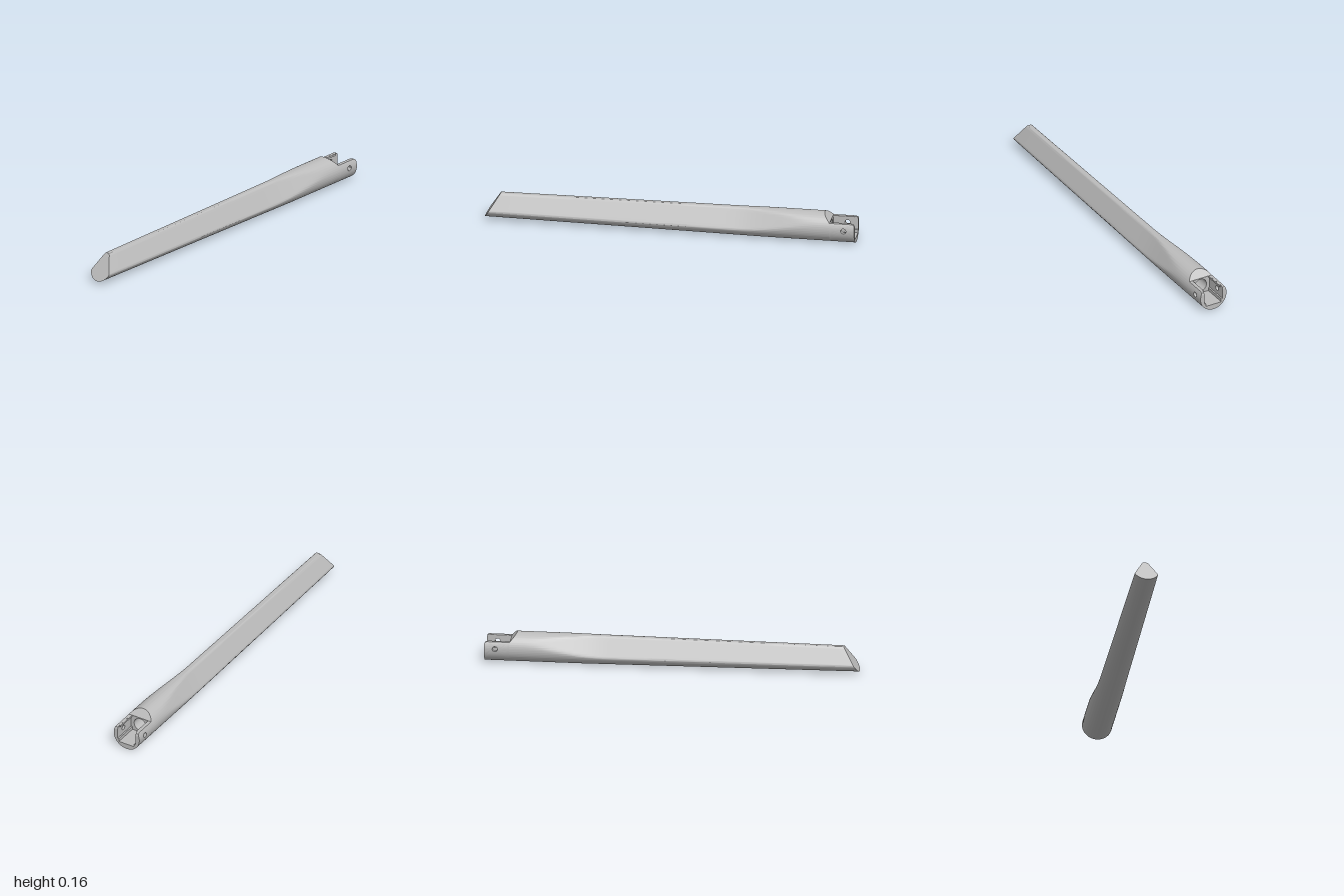
import * as THREE from 'three';
import { toCreasedNormals } from 'three/addons/utils/BufferGeometryUtils.js';

const { lerp, clamp, smoothstep } = THREE.MathUtils;
const V = (x, y, z) => new THREE.Vector3(x, y, z);
const R = 0.08, CY = 0.08;              // socket radius and axis height
const RIM = 0.12, FLOOR = 0.03;         // top of fork walls, channel floor
const BULK = -0.865, END = -1;          // bulkhead and rear end

const grey = new THREE.MeshStandardMaterial({ color: 0xbcbcbc, side: THREE.DoubleSide });
grey.name = 'grey';

// Skin a list of equal-length point rows
function loft(rows, crease = 0.6) {
  const n = rows[0].length, pos = [], idx = [];
  rows.forEach(row => row.forEach(p => pos.push(p.x, p.y, p.z)));
  for (let i = 0; i < rows.length - 1; i++) {
    for (let j = 0; j < n - 1; j++) {
      const a = i * n + j, d = a + n;
      idx.push(a, a + 1, d, a + 1, d + 1, d);
    }
  }
  const g = new THREE.BufferGeometry();
  g.setAttribute('position', new THREE.Float32BufferAttribute(pos, 3));
  g.setIndex(idx);
  return toCreasedNormals(g, crease);
}

// Round section whose two upper flanks are shaved flat towards the front
function section(z, zOf = () => z) {
  const t = clamp((1 - z) / 1.5, 0, 1);
  const r = lerp(0.068, R, t), cy = lerp(0.0825, CY, t);
  const flat = r * lerp(1.06, 0.64, smoothstep(z, -0.85, -0.35));
  const pts = [];
  for (let i = 0; i <= 144; i++) {
    const a = i / 144 * Math.PI * 2;
    let sum = Math.pow(r, -40);
    for (const phi of [28, 152]) {
      const c = Math.max(Math.cos(a - phi * Math.PI / 180), 0.05);
      sum += Math.pow(flat / c, -40);
    }
    const q = Math.pow(sum, -1 / 40);
    const y = cy + q * Math.sin(a);
    pts.push(V(q * Math.cos(a), y, zOf(y)));
  }
  return pts;
}

export function createModel() {
  const model = new THREE.Group();
  const add = (name, geometry, parent = model) => {
    const m = new THREE.Mesh(geometry, grey);
    m.name = name;
    parent.add(m);
    return m;
  };

  // Long body, with a slanted shoulder behind and a slanted tip in front
  const slantBack = y => BULK + Math.max(0, y - RIM) * 0.875;
  const slantTip = y => 1 - (y - 0.0145) * 0.63;
  const rows = [section(-0.85, slantBack)];
  for (let i = 0; i <= 40; i++) rows.push(section(lerp(-0.82, 0.9, i / 40)));
  const tip = section(1, slantTip);
  rows.push(tip, tip.map(() => V(0, 0.08, slantTip(0.08))));
  add('body', loft(rows));

  // Slanted face between the body's top and the fork
  const arc = rows[0].slice(12, 61);
  add('shoulder', loft([arc.map(p => V(p.x, RIM, BULK)), arc]));

  // Bulkhead with a blind bore
  const plate = new THREE.Shape();
  plate.absarc(0, CY, R - 0.001, Math.PI * 5 / 6, Math.PI * 13 / 6, false);
  plate.closePath();
  const hole = new THREE.Path();
  hole.absarc(0, 0.076, 0.037, 0, Math.PI * 2, true);
  plate.holes.push(hole);
  add('bulkhead', new THREE.ExtrudeGeometry(plate, { depth: 0.012, bevelEnabled: false, curveSegments: 40 }))
    .position.z = BULK;
  const bore = add('bore', new THREE.CylinderGeometry(0.037, 0.037, 0.25, 40, 1, true).rotateX(Math.PI / 2));
  bore.position.set(0, 0.076, BULK + 0.125);
  const boreEnd = add('boreEnd', new THREE.CircleGeometry(0.037, 40).rotateY(Math.PI));
  boreEnd.position.set(0, 0.076, BULK + 0.25);

  // Channel floor: lower segment of the round socket
  const dip = Math.asin((CY - FLOOR) / R);
  const base = new THREE.Shape();
  base.absarc(0, CY, R, Math.PI + dip, Math.PI * 2 - dip, false);
  base.closePath();
  const baseGeo = new THREE.ExtrudeGeometry(base, { depth: BULK - END, bevelEnabled: false, curveSegments: 32 });
  add('channelFloor', toCreasedNormals(baseGeo, 0.6)).position.z = END;

  // Fork walls: curved outside, flat inside, pierced by a pin hole
  const corners = [[BULK, FLOOR], [BULK, RIM], [-0.986, RIM], [-0.996, 0.116], [END, 0.106], [END, FLOOR], [BULK, FLOOR]];
  const edge = [];
  for (let i = 0; i < corners.length - 1; i++) {
    for (let k = 0; k < 8; k++) {
      edge.push([0, 1].map(c => lerp(corners[i][c], corners[i + 1][c], k / 8)));
    }
  }
  edge.push(corners[0]);
  const pinZ = -0.942, pinY = 0.083, pinR = 0.014, inner = 0.056;
  const ring = (f, xOf) => edge.map(([z, y]) => {
    const a = Math.atan2(y - pinY, z - pinZ);
    const py = lerp(pinY + pinR * Math.sin(a), y, f);
    return V(xOf(py), py, lerp(pinZ + pinR * Math.cos(a), z, f));
  });
  const steps = [0, 0.2, 0.4, 0.6, 0.8, 1];
  for (const s of [1, -1]) {
    const side = new THREE.Group();
    side.name = s > 0 ? 'leftFork' : 'rightFork';
    model.add(side);
    const outside = y => s * Math.sqrt(R * R - (y - CY) ** 2);
    const inside = () => s * inner;
    let wall = [
      ...steps.map(f => ring(f, outside)),
      ...steps.slice().reverse().map(f => ring(f, inside)),
      ring(0, outside),
    ];
    if (s < 0) wall = wall.map(r => r.reverse());
    add('forkWall', loft(wall), side);
    // Lip along the top and ledge along the floor
    add('lip', new THREE.BoxGeometry(0.007, 0.01, 0.115), side).position.set(s * 0.053, 0.1145, -0.9225);
    add('ledge', new THREE.BoxGeometry(0.009, 0.018, 0.135), side).position.set(s * 0.052, 0.039, -0.9325);
  }
  return model;
}
